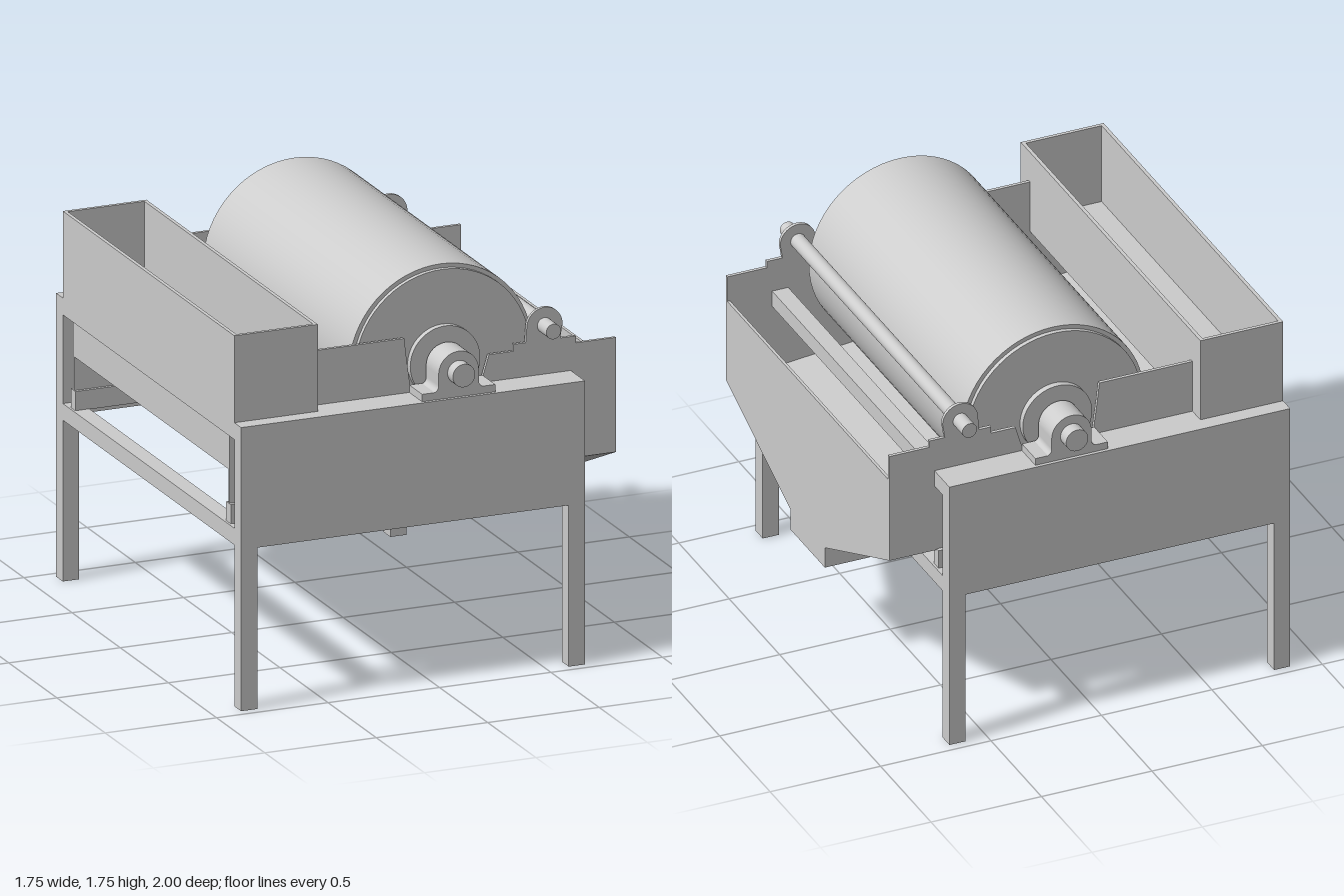
import * as THREE from 'three';

const steel = new THREE.MeshStandardMaterial({ color: 0xcccccc, side: THREE.DoubleSide });
steel.name = 'grey steel';

export function createModel() {
  const root = new THREE.Group();
  root.name = 'drumSeparator';

  const add = (name, geometry) => {
    const mesh = new THREE.Mesh(geometry, steel);
    mesh.name = name;
    root.add(mesh);
    return mesh;
  };
  // box given by its two extreme corners
  const box = (name, x0, x1, y0, y1, z0, z1) =>
    add(name, new THREE.BoxGeometry(x1 - x0, y1 - y0, z1 - z0))
      .position.set((x0 + x1) / 2, (y0 + y1) / 2, (z0 + z1) / 2);
  // cylinder lying along z
  const rod = (name, x, y, r, z0, z1) => {
    const m = add(name, new THREE.CylinderGeometry(r, r, z1 - z0, 64));
    m.rotation.x = Math.PI / 2;
    m.position.set(x, y, (z0 + z1) / 2);
  };
  // xy outline extruded from z0 to z1
  const plateXY = (name, shape, z0, z1) => {
    const g = new THREE.ExtrudeGeometry(shape, { depth: z1 - z0, bevelEnabled: false, curveSegments: 32 });
    add(name, g).position.z = z0;
  };
  // zy outline extruded from x0 to x1
  const plateZY = (name, points, x0, x1) => {
    const shape = new THREE.Shape(points.map(([z, y]) => new THREE.Vector2(-z, y)));
    const g = new THREE.ExtrudeGeometry(shape, { depth: x1 - x0, bevelEnabled: false });
    g.rotateY(Math.PI / 2);
    add(name, g).position.x = x0;
  };
  // z ranges mirrored to both sides
  const bothSides = (fn) => [1, -1].forEach((s) =>
    fn((a, b) => (s > 0 ? [a, b] : [-b, -a])));

  const cx = 0.11, cy = 1.338;           // drum axis
  const back = -0.873, front = 0.873;    // overall length
  const frameEnd = 0.67, boxEnd = -0.498;

  // frame: legs, side panels with inward flanges, tank rails, cross beams
  bothSides((z) => {
    box('leg', back, back + 0.073, 0, 1.23, ...z(0.89, 0.96));
    box('leg', frameEnd - 0.073, frameEnd, 0, 1.23, ...z(0.89, 0.96));
    box('sidePanel', back, frameEnd, 0.7, 1.23, ...z(0.94, 0.96));
    box('sideFlange', back, frameEnd, 1.21, 1.23, ...z(0.81, 0.96));
    box('tankRail', back + 0.01, frameEnd - 0.01, 0.77, 0.855, ...z(0.783, 0.83));
  });
  [[back, back + 0.073], [frameEnd - 0.073, frameEnd]].forEach(([a, b]) => {
    box('lowerCrossBeam', a, b, 0.7, 0.772, -0.89, 0.89);
    box('upperCrossBeam', a, b, 1.157, 1.23, -0.89, 0.89);
  });

  // tank side plates with a shaft notch and a lug for the spray pipe
  const side = new THREE.Shape();
  side.moveTo(-0.86, 0.85);
  side.lineTo(front, 0.85);
  side.lineTo(front, 1.347);
  side.lineTo(0.693, 1.347);
  side.lineTo(0.693, 1.377);
  side.lineTo(0.623, 1.377);
  side.lineTo(0.633, 1.44);
  side.absarc(0.553, 1.44, 0.08, 0, Math.PI, false);
  side.lineTo(0.468, 1.377);
  side.lineTo(0.413, 1.377);
  side.lineTo(0.413, 1.347);
  side.lineTo(0.303, 1.347);
  side.lineTo(0.268, 1.23);
  side.lineTo(-0.047, 1.23);
  side.lineTo(-0.067, 1.38);
  side.lineTo(-0.077, 1.467);
  side.lineTo(boxEnd, 1.467);
  side.lineTo(boxEnd, 1.23);
  side.lineTo(-0.86, 1.23);
  bothSides((z) => plateXY('tankSidePlate', side, ...z(0.797, 0.812)));

  // sloping tank floor and rear wall
  const floor = new THREE.Shape([[-0.86, 1.0], [0.667, 0.85], [0.667, 0.865], [-0.86, 1.015]]
    .map(([x, y]) => new THREE.Vector2(x, y)));
  plateXY('tankFloor', floor, -0.797, 0.797);
  box('tankRearWall', -0.86, -0.845, 1.0, 1.23, -0.797, 0.797);

  // discharge hopper with a funnel and an open outlet
  const funnel = [[0.812, 0.85], [0.17, 0.57], [0.17, 0.475], [-0.17, 0.475], [-0.17, 0.57], [-0.812, 0.85]];
  plateZY('hopperFrontWall', [[-0.812, 1.23], [0.812, 1.23], ...funnel], front - 0.013, front);
  plateZY('hopperRearWall', funnel, 0.655, 0.668);
  [1, -1].forEach((s) => {
    const slope = [[0.812, 0.85], [0.17, 0.57], [0.13, 0.57], [0.812, 0.867]];
    plateZY('hopperSlope', slope.map(([z, y]) => [z * s, y]), 0.655, front);
  });
  bothSides((z) => box('outletSide', 0.655, front, 0.475, 0.575, ...z(0.157, 0.17)));

  // open feed box
  box('feedBoxFloor', back, boxEnd, 1.23, 1.245, -0.89, 0.89);
  box('feedBoxRearWall', back, back + 0.016, 1.23, 1.607, -0.89, 0.89);
  box('feedBoxFrontWall', boxEnd - 0.016, boxEnd, 1.23, 1.607, -0.89, 0.89);
  bothSides((z) => box('feedBoxEnd', back, boxEnd, 1.23, 1.607, ...z(0.874, 0.89)));

  // drum, shaft and spray pipe
  rod('drum', cx, cy, 0.412, -0.757, 0.757);
  rod('drumEnds', cx, cy, 0.394, -0.777, 0.777);
  rod('shaft', cx, cy, 0.05, -1, 1);
  rod('sprayPipe', 0.553, 1.442, 0.033, -0.905, 0.905);

  // pillow block bearings and shaft collars
  const housing = new THREE.Shape();
  housing.moveTo(cx - 0.115, 1.26);
  housing.quadraticCurveTo(cx - 0.09, 1.265, cx - 0.09, 1.29);
  housing.lineTo(cx - 0.09, cy);
  housing.absarc(cx, cy, 0.09, Math.PI, 0, true);
  housing.lineTo(cx + 0.09, 1.29);
  housing.quadraticCurveTo(cx + 0.09, 1.265, cx + 0.115, 1.26);
  bothSides((z) => {
    rod('shaftCollar', cx, cy, 0.157, ...z(0.775, 0.805));
    plateXY('bearingHousing', housing, ...z(0.815, 0.945));
    box('bearingBase', cx - 0.164, cx + 0.164, 1.23, 1.262, ...z(0.812, 0.945));
  });

  return root;
}
